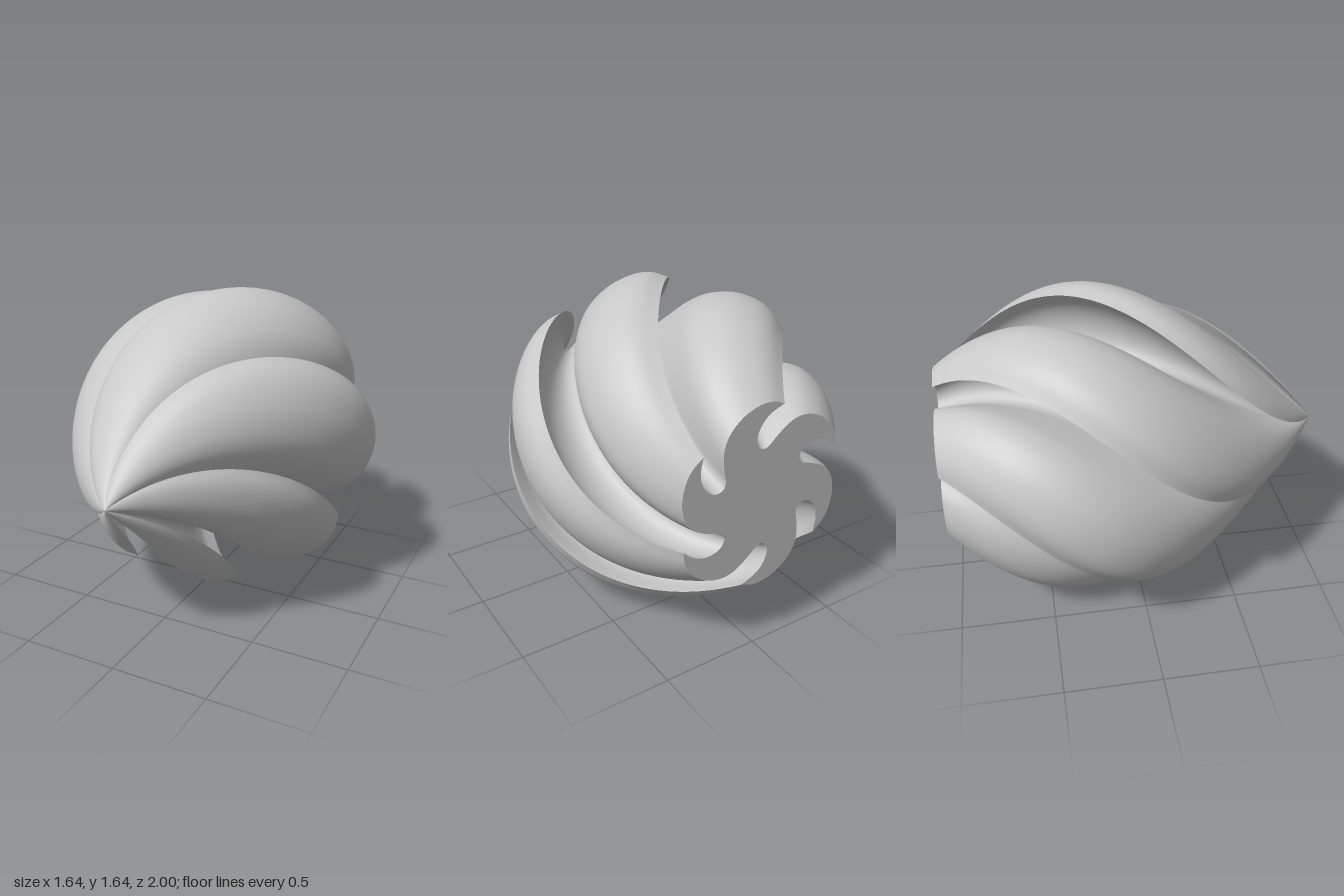
import * as THREE from 'three';

const BLADES = 6;
const RINGS = 96;
const STEPS = 52;
const MAX_RADIUS = 0.824;
const CENTRE_Y = 0.822;
const DEG = Math.PI / 180;

// One sector of the cross-section, from blade tip to next blade tip: [degrees, radius]
const sector = [
  [0, 0.97], [-10, 0.88], [-17, 0.78], [-21, 0.67], [-20.5, 0.585], [-15, 0.535], [-8, 0.55],
  [-2, 0.615], [3, 0.685], [7, 0.748], [12, 0.823], [20, 0.905], [32, 0.975], [44, 1.007], [52, 1.003], [60, 0.97],
];
const curve = new THREE.CatmullRomCurve3(
  sector.map(([a, r]) => new THREE.Vector3(r * Math.cos(a * DEG), r * Math.sin(a * DEG), 0)),
);
const profile = curve.getSpacedPoints(STEPS);

// Size and twist of the cross-section along the axis
const radiusAt = (z) => MAX_RADIUS * Math.pow(Math.sin((Math.PI / 2) * (1 - z) / 1.21), 0.87);
const twistAt = (z) => (41.5 + 60 * z) * DEG;

function sectionPoint(p, blade, z) {
  const a = twistAt(z) + blade * 60 * DEG;
  const r = radiusAt(z);
  return [r * (p.x * Math.cos(a) - p.y * Math.sin(a)), r * (p.x * Math.sin(a) + p.y * Math.cos(a))];
}

// Twisted surface between two neighbouring blade tips
function bladeGeometry(blade) {
  const positions = [];
  const index = [];
  const row = STEPS + 1;
  for (let i = 0; i <= RINGS; i++) {
    const z = 1 - 2 * Math.pow(i / RINGS, 1.25);
    for (const p of profile) {
      const [x, y] = sectionPoint(p, blade, z);
      positions.push(x, y, z);
    }
    if (i === RINGS) break;
    for (let j = 0; j < STEPS; j++) {
      const a = i * row + j;
      const c = a + row;
      if (i > 0) index.push(a, c, a + 1);
      index.push(a + 1, c, c + 1);
    }
  }
  const g = new THREE.BufferGeometry();
  g.setAttribute('position', new THREE.Float32BufferAttribute(positions, 3));
  g.setIndex(index);
  g.computeVertexNormals();
  return g;
}

// Flat end with the hooked star outline, facing backwards
function capGeometry() {
  const points = [];
  for (let b = 0; b < BLADES; b++) {
    for (const p of profile.slice(0, STEPS)) {
      const [x, y] = sectionPoint(p, b, -1);
      points.push(new THREE.Vector2(-x, y));
    }
  }
  return new THREE.ShapeGeometry(new THREE.Shape(points)).rotateY(Math.PI).translate(0, 0, -1);
}

export function createModel() {
  const grey = new THREE.MeshStandardMaterial({ color: 0xc8c8c8 });
  grey.name = 'grey';

  const model = new THREE.Group();
  model.name = 'twistedReamer';

  for (let b = 0; b < BLADES; b++) {
    const blade = new THREE.Mesh(bladeGeometry(b), grey);
    blade.name = `spiralBlade${b + 1}`;
    blade.position.y = CENTRE_Y;
    model.add(blade);
  }

  const cap = new THREE.Mesh(capGeometry(), grey);
  cap.name = 'backCap';
  cap.position.y = CENTRE_Y;
  model.add(cap);

  return model;
}
